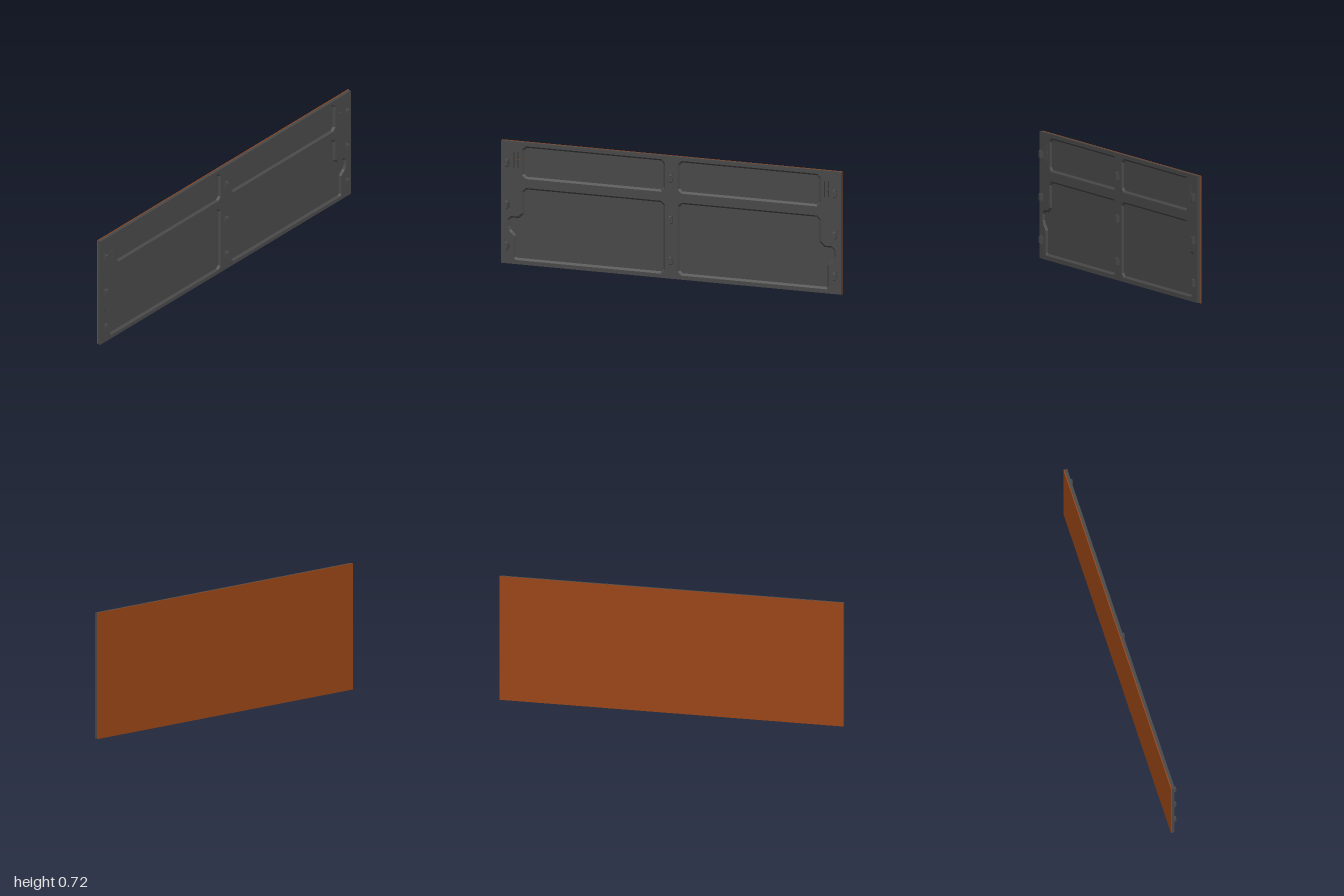
import * as THREE from 'three';

const W = 2, H = 0.722;
const X_BACK = -0.022, X_PLATE = -0.017, X_FLOOR = -0.011, X_FACE = 0;

const dark = new THREE.MeshStandardMaterial({ color: 0x484848, flatShading: true });
const darkWall = new THREE.MeshStandardMaterial({ color: 0x484848, flatShading: true, side: THREE.DoubleSide });
const orange = new THREE.MeshStandardMaterial({ color: 0x9a4616, flatShading: true });

const toShape = (pts) => new THREE.Shape(pts.map(([u, v]) => new THREE.Vector2(u, v)));
const rect = (u0, u1, v0, v1) => [[u0, v0], [u1, v0], [u1, v1], [u0, v1]];
const mirror = (pts) => pts.map(([u, v]) => [-u, v]).reverse();

// Extrudes an outline in the (u = -z, v = y) plane from x0 to x1
function slab(name, outline, holes, x0, x1, material) {
  const shape = toShape(outline);
  holes.forEach((h) => shape.holes.push(toShape(h)));
  const geo = new THREE.ExtrudeGeometry(shape, { depth: x1 - x0, bevelEnabled: false });
  geo.rotateY(Math.PI / 2);
  geo.translate(x0, 0, 0);
  const mesh = new THREE.Mesh(geo, material);
  mesh.name = name;
  return mesh;
}

// Moves each edge of a counter-clockwise outline inwards by d
function inset(pts, d) {
  const n = pts.length;
  return pts.map((p, i) => {
    const a = pts[(i + n - 1) % n], b = pts[(i + 1) % n];
    const normal = (s, e) => {
      const l = Math.hypot(e[0] - s[0], e[1] - s[1]);
      return [-(e[1] - s[1]) / l, (e[0] - s[0]) / l];
    };
    const m = normal(a, p), k = normal(p, b);
    const f = d / (1 + m[0] * k[0] + m[1] * k[1]);
    return [p[0] + (m[0] + k[0]) * f, p[1] + (m[1] + k[1]) * f];
  });
}

// Sloping wall around a recess, from the face down to the floor
function recessWall(outline) {
  const inner = inset(outline, 0.011);
  const pos = [];
  outline.forEach((a, i) => {
    const j = (i + 1) % outline.length;
    const A = [X_FACE, a[1], -a[0]], B = [X_FACE, outline[j][1], -outline[j][0]];
    const C = [X_FLOOR, inner[j][1], -inner[j][0]], D = [X_FLOOR, inner[i][1], -inner[i][0]];
    pos.push(...A, ...B, ...C, ...A, ...C, ...D);
  });
  const geo = new THREE.BufferGeometry();
  geo.setAttribute('position', new THREE.Float32BufferAttribute(pos, 3));
  geo.computeVertexNormals();
  const mesh = new THREE.Mesh(geo, darkWall);
  mesh.name = 'recessWall';
  return mesh;
}

// Mounting clip: a narrow core between two hooked side cheeks
function clip(y, z) {
  const group = new THREE.Group();
  group.name = 'clip';
  const profile = (x1, y0, y1, r) => {
    const s = new THREE.Shape();
    s.moveTo(-0.002, y0);
    s.lineTo(x1 - r / 2, y0);
    s.lineTo(x1, y0 + r / 2);
    s.lineTo(x1, y1 - r);
    s.quadraticCurveTo(x1, y1, x1 - r, y1);
    s.lineTo(-0.002, y1);
    return s;
  };
  const add = (name, shape, width) => {
    const geo = new THREE.ExtrudeGeometry(shape, { depth: width, bevelEnabled: false, curveSegments: 4 });
    geo.translate(0, 0, -width / 2);
    const mesh = new THREE.Mesh(geo, dark);
    mesh.name = name;
    group.add(mesh);
  };
  add('clipCore', profile(0.021, -0.022, 0.022, 0.006), 0.014);
  add('clipCheeks', profile(0.015, -0.020, 0.012, 0.003), 0.022);
  group.position.set(0, y, z);
  return group;
}

export function createModel() {
  const model = new THREE.Group();
  model.name = 'panel';

  // Recess outlines on one half, counter-clockwise
  const c = 0.022;
  const upper = [
    [0.037 + c, 0.508], [0.877 - c, 0.508], [0.877, 0.508 + c], [0.877, 0.7 - c],
    [0.877 - c, 0.7], [0.037 + c, 0.7], [0.037, 0.7 - c], [0.037, 0.508 + c],
  ];
  const lower = [
    [0.037 + c, 0.026], [0.925 - 0.012, 0.026], [0.925, 0.038], [0.925, 0.165],
    [0.94, 0.183], [0.953, 0.195], [0.963, 0.22], [0.963, 0.262], [0.942, 0.282], [0.9, 0.282],
    [0.877, 0.305], [0.877, 0.455 - c], [0.877 - c, 0.455], [0.037 + c, 0.455],
    [0.037, 0.455 - c], [0.037, 0.026 + c],
  ];
  const recesses = [upper, lower, mirror(upper), mirror(lower)];

  // H-shaped slots that cut right through the plate
  const a = 0.897, b = 0.903, d = 0.92, e = 0.926, y0 = 0.565, y1 = 0.662, m0 = 0.611, m1 = 0.617;
  const slot = [
    [a, y0], [b, y0], [b, m0], [d, m0], [d, y0], [e, y0],
    [e, y1], [d, y1], [d, m1], [b, m1], [b, y1], [a, y1],
  ];
  const slots = [slot, mirror(slot)];

  // Coloured outer sheet, dark backing plate and the raised frame
  const sheet = rect(-W / 2, W / 2, 0, H);
  const plate = rect(-W / 2 + 0.001, W / 2 - 0.001, 0.002, H - 0.001);
  model.add(slab('outerSheet', sheet, [], X_BACK, X_PLATE, orange));
  model.add(slab('backingPlate', plate, slots, X_PLATE, X_FLOOR, dark));
  model.add(slab('frame', plate, [...recesses, ...slots], X_FLOOR, X_FACE, dark));
  recesses.forEach((r) => model.add(recessWall(r)));

  // Three columns of three clips
  for (const z of [-0.962, 0, 0.962])
    for (const y of [0.111, 0.353, 0.596]) model.add(clip(y, z));

  // Small catches on the tongues between the slots
  for (const side of [-1, 1]) {
    const catchMesh = new THREE.Mesh(new THREE.BoxGeometry(0.01, 0.014, 0.01), dark);
    catchMesh.name = 'catch';
    catchMesh.position.set(0, 0.61, side * 0.9115);
    model.add(catchMesh);
  }
  return model;
}
